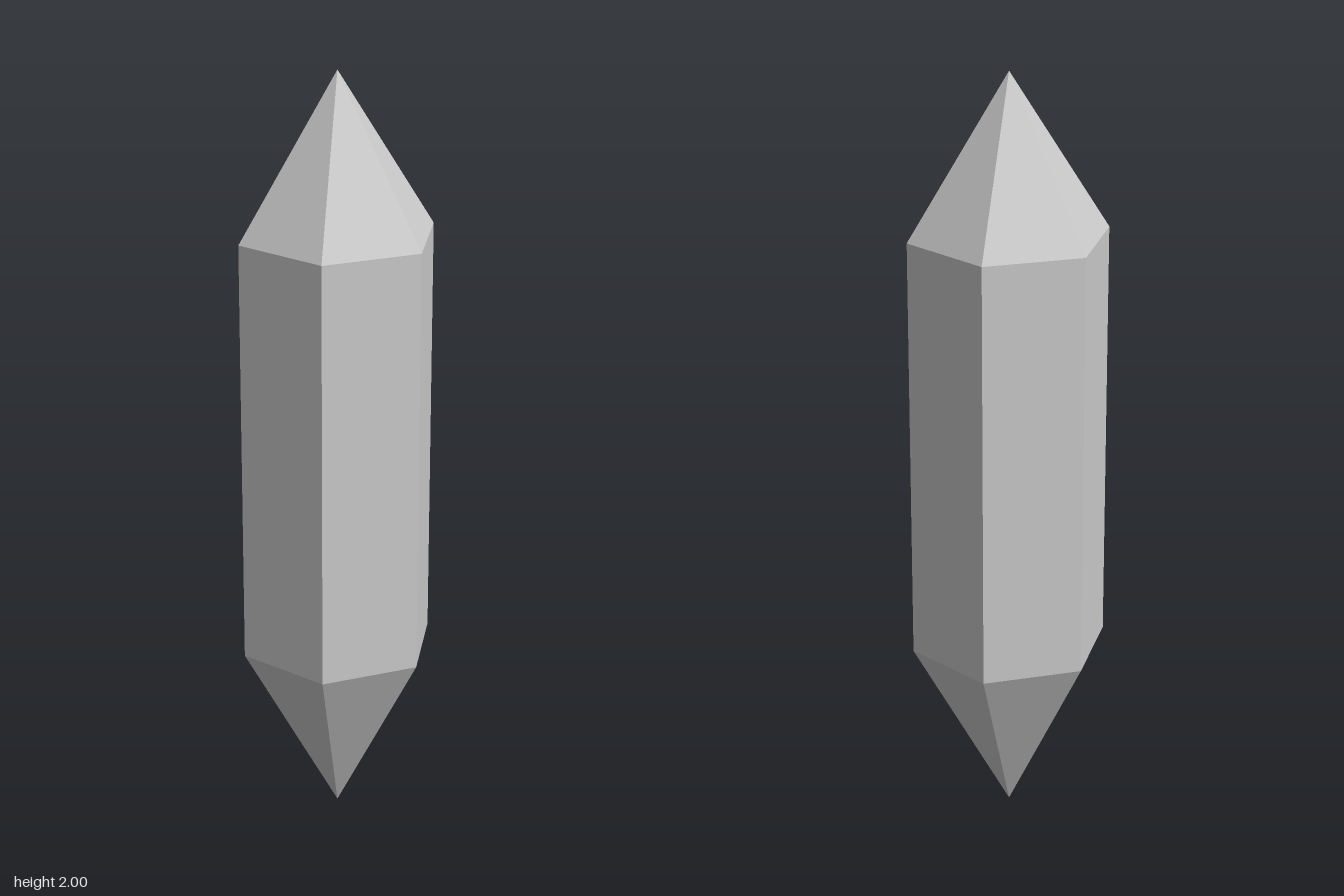
import * as THREE from 'three';

const SIDES = 6;
const RADIUS = 0.258;
const LOWER = 0.48; // height where the lower point meets the shaft
const UPPER = 1.59; // height where the shaft meets the upper point
const TOP = 2;
const TURN = Math.PI / SIDES; // puts corners on the x axis

export function createModel() {
  const crystal = new THREE.Group();
  crystal.name = 'crystal';
  const material = new THREE.MeshStandardMaterial({ color: 0xcccccc, flatShading: true });

  const addPart = (name, geometry, y) => {
    const mesh = new THREE.Mesh(geometry, material);
    mesh.name = name;
    mesh.position.y = y;
    crystal.add(mesh);
  };
  const point = (height) => new THREE.ConeGeometry(RADIUS, height, SIDES, 1, true, TURN);

  // Hexagonal shaft, open where the points close it
  const shaft = new THREE.CylinderGeometry(RADIUS, RADIUS, UPPER - LOWER, SIDES, 1, true, TURN);
  addPart('shaft', shaft, (LOWER + UPPER) / 2);

  // Short upper point and longer, inverted lower point
  addPart('upperPoint', point(TOP - UPPER), (TOP + UPPER) / 2);
  addPart('lowerPoint', point(LOWER).rotateX(Math.PI), LOWER / 2);

  return crystal;
}
